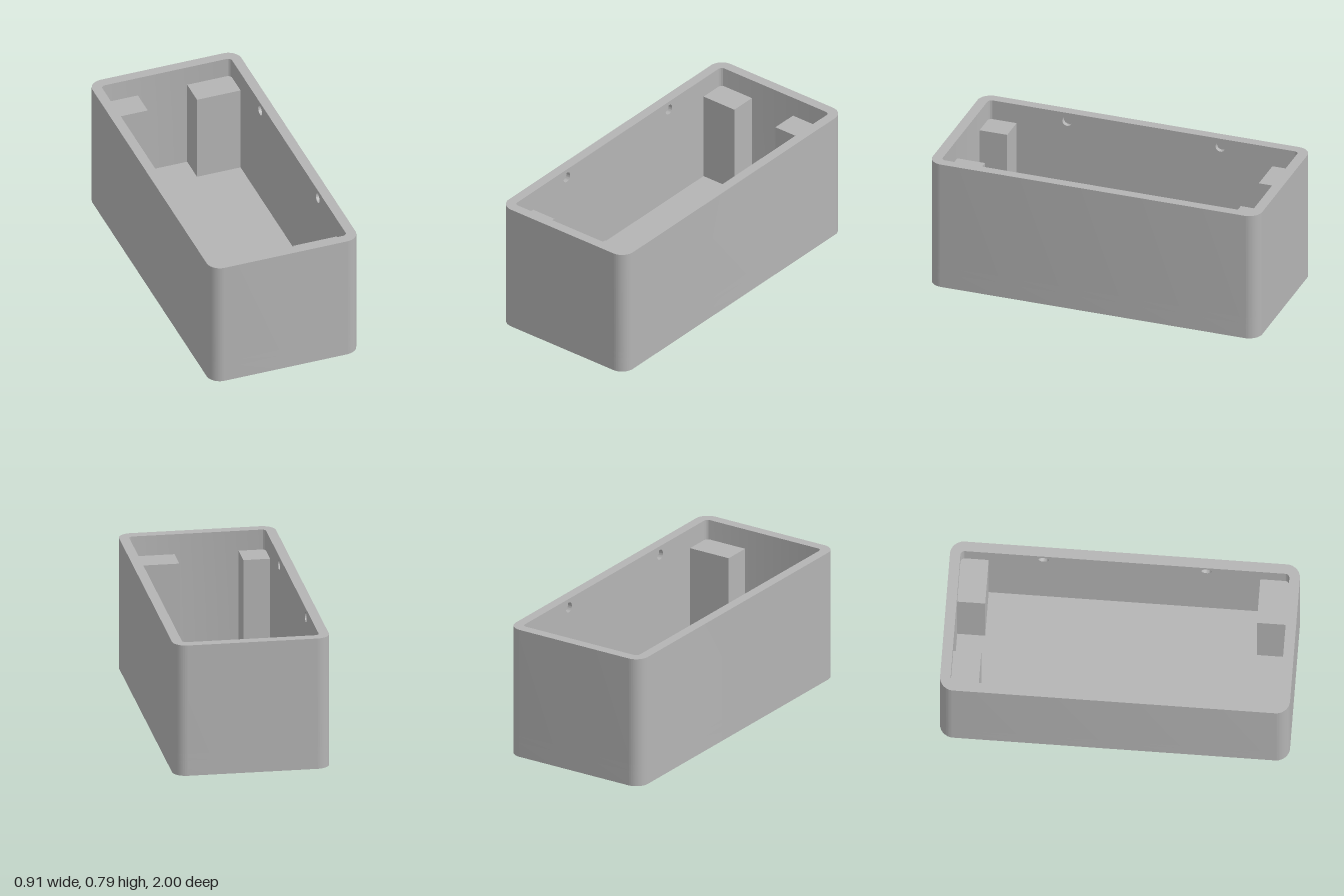
import * as THREE from 'three';
import { toCreasedNormals } from 'three/addons/utils/BufferGeometryUtils.js';

const HX = 0.453, HZ = 1, H = 0.785, R = 0.08;      // outer half sizes, height, corner radius
const IX = 0.395, IZ = 0.94, IR = 0.025;            // cavity half sizes, corner radius
const FLOOR = 0.13, POCKET = 0.09, POST_TOP = 0.665;
const DIMPLE = 0.027;                               // depth of the blind holes in the long walls

// Rounded rectangle; step widens the straight long sides to seat the liner plates
function roundedRect(path, hx, hz, r, step = 0) {
  const cx = hx - r, cz = hz - r, P = Math.PI;
  path.moveTo(hx + step, -cz);
  path.lineTo(hx + step, cz);
  path.absarc(cx, cz, r, 0, P / 2, false);
  path.absarc(-cx, cz, r, P / 2, P, false);
  if (step) {
    path.lineTo(-hx - step, cz);
    path.lineTo(-hx - step, -cz);
  }
  path.absarc(-cx, -cz, r, P, 1.5 * P, false);
  path.absarc(cx, -cz, r, 1.5 * P, 2 * P, false);
  path.closePath();
  return path;
}

// Round entry with a narrow slot running towards the back
function keyhole(z) {
  const r = 0.136, w = 0.064, a = Math.asin(w / r), cy = -z;
  const path = new THREE.Path();
  path.absarc(0, cy, r, Math.PI / 2 + a, 2.5 * Math.PI - a, false);
  path.lineTo(w, cy + 0.265);
  path.lineTo(-w, cy + 0.265);
  path.closePath();
  return path;
}

function extrude(shape, depth) {
  const geo = new THREE.ExtrudeGeometry(shape, { depth, bevelEnabled: false, curveSegments: 16 });
  return toCreasedNormals(geo, 0.5);
}

export function createModel() {
  const model = new THREE.Group();
  const grey = new THREE.MeshStandardMaterial({ color: 0xb4b4b4 });
  grey.name = 'grey';

  const add = (name, geo) => {
    const mesh = new THREE.Mesh(geo, grey);
    mesh.name = name;
    model.add(mesh);
    return mesh;
  };
  // Horizontal layer from y0 to y1
  const layer = (name, holes, y0, y1) => {
    const shape = roundedRect(new THREE.Shape(), HX, HZ, R);
    shape.holes.push(...holes);
    add(name, extrude(shape, y1 - y0).rotateX(-Math.PI / 2)).position.y = y0;
  };

  // Base with two blind keyhole pockets, solid floor above it, then the walls
  layer('keyholeBase', [keyhole(0.53), keyhole(-0.265)], 0, POCKET);
  layer('floor', [], POCKET, FLOOR);
  layer('walls', [roundedRect(new THREE.Path(), IX, IZ, IR, DIMPLE)], FLOOR, H);

  // Inner faces of the long walls, each with two blind round holes near the rim
  const zs = IZ - IR;
  for (const side of [1, -1]) {
    const plate = new THREE.Shape();
    plate.moveTo(-zs, FLOOR);
    plate.lineTo(zs, FLOOR);
    plate.lineTo(zs, H);
    plate.lineTo(-zs, H);
    plate.closePath();
    for (const z of [-0.465, 0.465]) {
      plate.holes.push(new THREE.Path().absarc(z, 0.732, 0.03, 0, Math.PI * 2, true));
    }
    const geo = extrude(plate, DIMPLE).rotateY(Math.PI / 2);
    add(side > 0 ? 'leftWallLiner' : 'rightWallLiner', geo).position.x = side > 0 ? IX : -IX - DIMPLE;
  }

  // Corner posts: name, side of x, side of z, inner x edge, inner z edge
  const posts = [
    ['backRightPost', -1, -1, 0.17, 0.78],
    ['backLeftPost', 1, -1, 0.13, 0.78],
    ['frontRightPost', -1, 1, 0.24, 0.772],
    ['frontLeftPost', 1, 1, 0.13, 0.772],
  ];
  for (const [name, sx, sz, x, z] of posts) {
    const w = IX + 0.005 - x, d = IZ + 0.005 - z, h = POST_TOP - FLOOR;
    const post = add(name, new THREE.BoxGeometry(w, h, d));
    post.position.set(sx * (x + w / 2), FLOOR + h / 2, sz * (z + d / 2));
  }
  return model;
}
